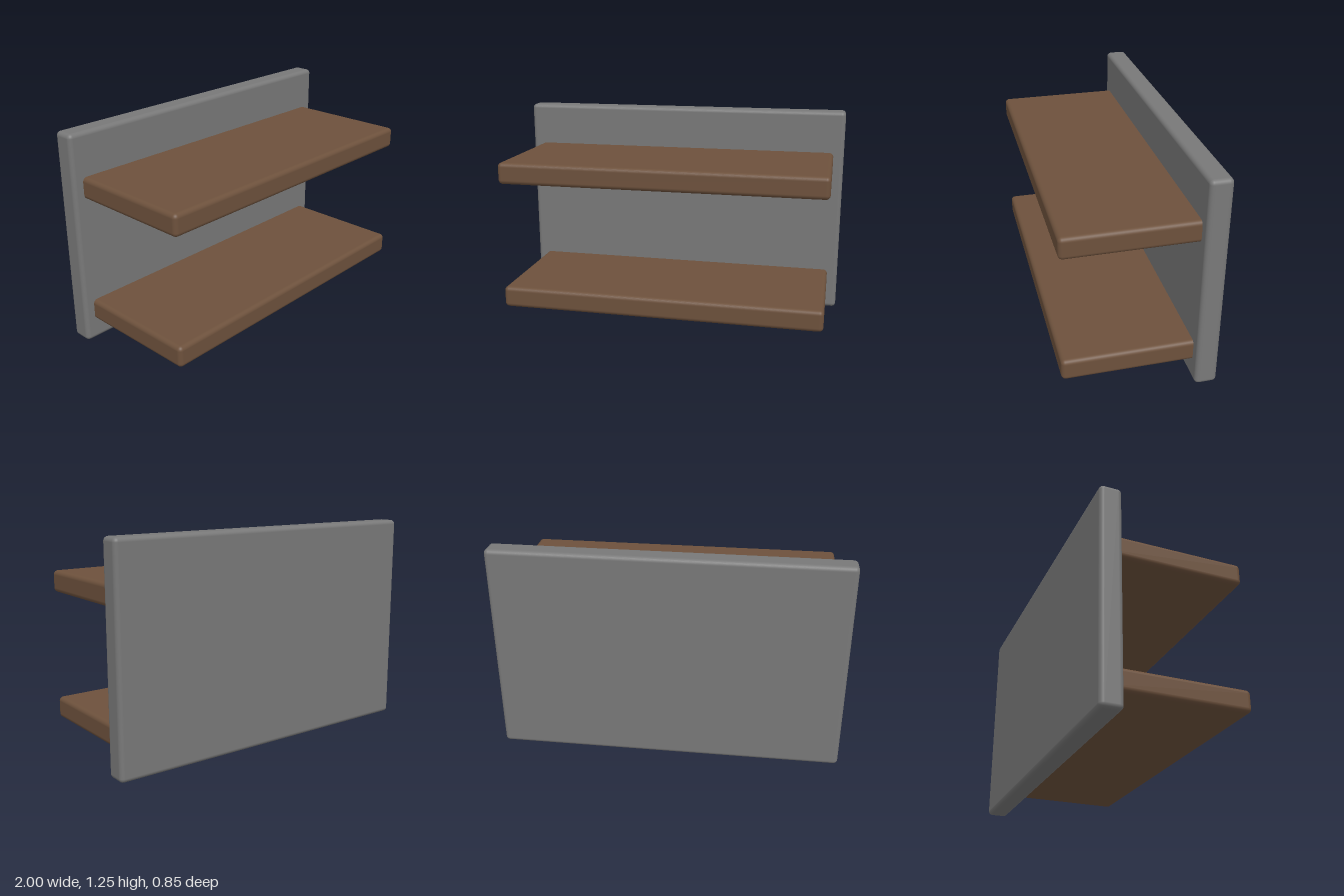
import * as THREE from 'three';
import { RoundedBoxGeometry } from 'three/addons/geometries/RoundedBoxGeometry.js';

export function createModel() {
  const model = new THREE.Group();
  model.name = 'wallShelf';

  const grey = new THREE.MeshStandardMaterial({ color: 0x787878 });
  grey.name = 'wall grey';
  const brown = new THREE.MeshStandardMaterial({ color: 0x6d513c });
  brown.name = 'wood brown';

  // Softly rounded slab given by its size and centre
  const addSlab = (name, material, size, centre) => {
    const mesh = new THREE.Mesh(new RoundedBoxGeometry(...size, 4, 0.025), material);
    mesh.name = name;
    mesh.position.set(...centre);
    model.add(mesh);
  };

  // Upright back panel
  addSlab('backPanel', grey, [2, 1.25, 0.125], [0, 0.625, -0.3625]);

  // Two shelves, their rear edges set into the panel
  const back = -0.35, front = 0.425;
  for (const [name, y] of [['lowerShelf', 0.1875], ['upperShelf', 0.9375]]) {
    addSlab(name, brown, [1.875, 0.125, front - back], [0, y, (front + back) / 2]);
  }

  return model;
}
